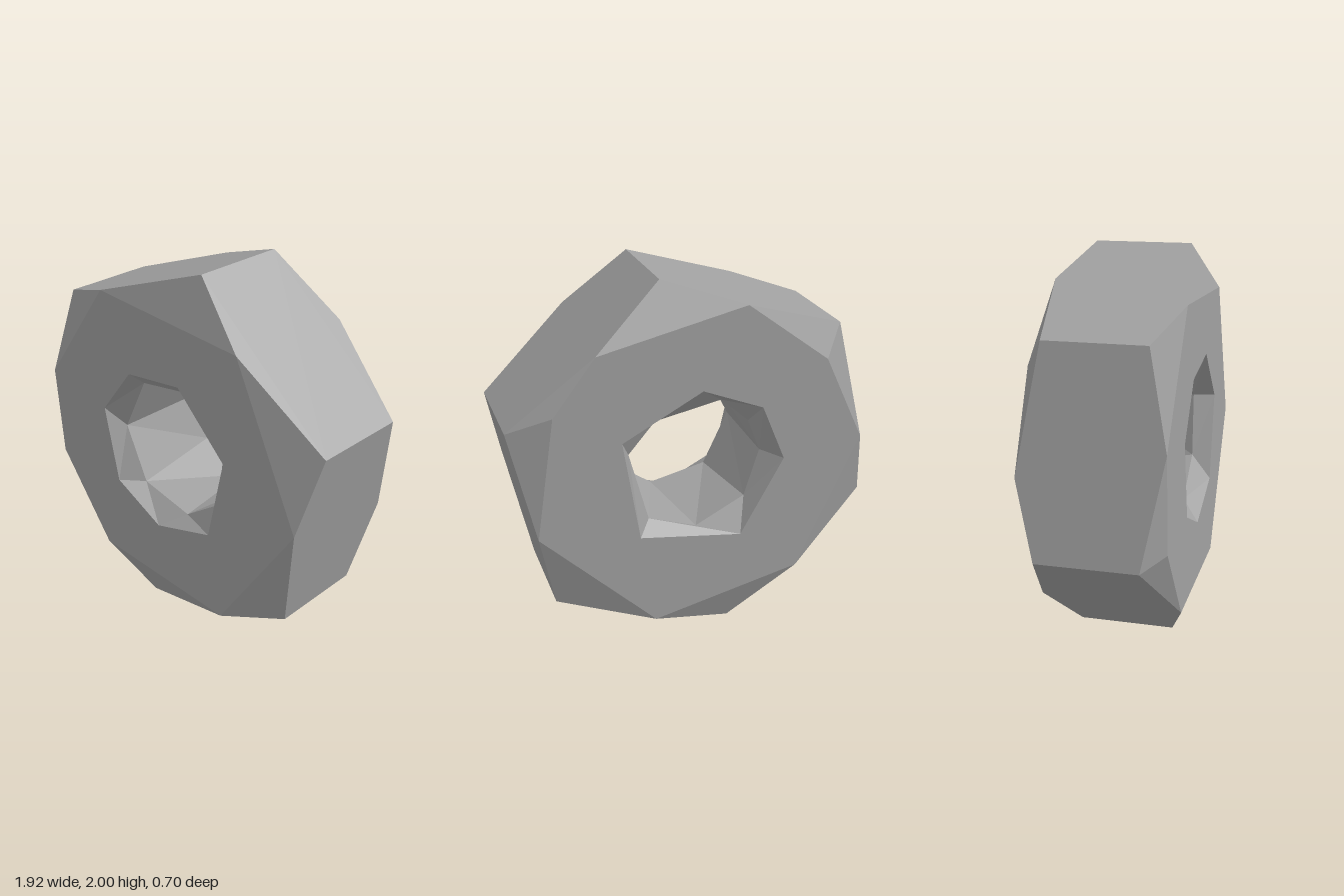
import * as THREE from 'three';

const angle = (p) => Math.atan2(p.y, p.x);

// Cross-section loop at depth z, sorted counter-clockwise around the bore axis
function ring(z, points) {
  return points
    .map(([x, y]) => new THREE.Vector3(x, y - 1, z))
    .sort((a, b) => angle(a) - angle(b));
}

// Zip two rings of any size together with triangles, in order of angle
function stitch(a, b) {
  const out = [];
  let i = 0, j = 0;
  let pa = a[a.length - 1], pb = b[b.length - 1];
  while (i < a.length || j < b.length) {
    const stepA = j >= b.length || (i < a.length && angle(a[i]) <= angle(b[j]));
    if (stepA) {
      out.push(pa, a[i], pb);
      pa = a[i++];
    } else {
      out.push(pa, b[j], pb);
      pb = b[j++];
    }
  }
  return out;
}

export function createModel() {
  const steel = new THREE.MeshStandardMaterial({ color: 0xa0a0a0 });
  steel.name = 'steel grey';
  steel.flatShading = true;

  // Six-sided outline
  const hex = [[0.96, 1.34], [0.19, 2], [-0.77, 1.667], [-0.96, 0.667], [-0.19, 0], [0.77, 0.337]];
  const hexBack = ring(-0.25, hex);
  const hexFront = ring(0.25, hex);

  // Rough chamfered outlines of the two flat faces
  const faceFront = ring(0.35, [[0.505, 1.73], [-0.42, 1.788], [-0.858, 1.2], [-0.82, 0.71],
    [-0.47, 0.244], [0.42, 0.213], [0.883, 0.94]]);
  const faceBack = ring(-0.35, [[0.535, 1.704], [-0.22, 1.858], [-0.66, 1.52], [-0.887, 1.05],
    [-0.55, 0.313], [0.26, 0.158], [0.856, 0.79], [0.75, 1.43]]);

  // Mouths of the hole
  const mouthFront = ring(0.35, [[-0.23, 1.39], [0.125, 1.44], [0.43, 1.14], [0.33, 0.68],
    [-0.04, 0.56], [-0.35, 0.71], [-0.44, 1.12]]);
  const mouthBack = ring(-0.35, [[0.42, 1.24], [0.005, 1.45], [-0.316, 1.31], [-0.445, 1],
    [-0.214, 0.588], [0.337, 0.687]]);

  // Narrow part of the hole
  const boreFront = ring(0.25, [[-0.23, 1.305], [0.09, 1.36], [0.335, 1.16], [0.32, 0.815],
    [0.08, 0.64], [-0.24, 0.705], [-0.38, 1]]);
  const boreBack = ring(-0.25, [[0.36, 1.12], [0.22, 1.28], [-0.13, 1.34], [-0.28, 1.2],
    [-0.35, 1.02], [-0.27, 0.76], [0, 0.63], [0.26, 0.73]]);

  // Skins run once around the solid, from the outside through the hole
  const parts = [
    ['outerSides', hexBack, hexFront],
    ['frontChamfer', hexFront, faceFront],
    ['frontFace', faceFront, mouthFront],
    ['frontCountersink', mouthFront, boreFront],
    ['bore', boreFront, boreBack],
    ['backCountersink', boreBack, mouthBack],
    ['backFace', mouthBack, faceBack],
    ['backChamfer', faceBack, hexBack],
  ];

  const nut = new THREE.Group();
  nut.name = 'hexNut';
  for (const [name, a, b] of parts) {
    const geometry = new THREE.BufferGeometry().setFromPoints(stitch(a, b));
    geometry.computeVertexNormals();
    const mesh = new THREE.Mesh(geometry, steel);
    mesh.name = name;
    mesh.position.y = 1;
    nut.add(mesh);
  }
  return nut;
}
